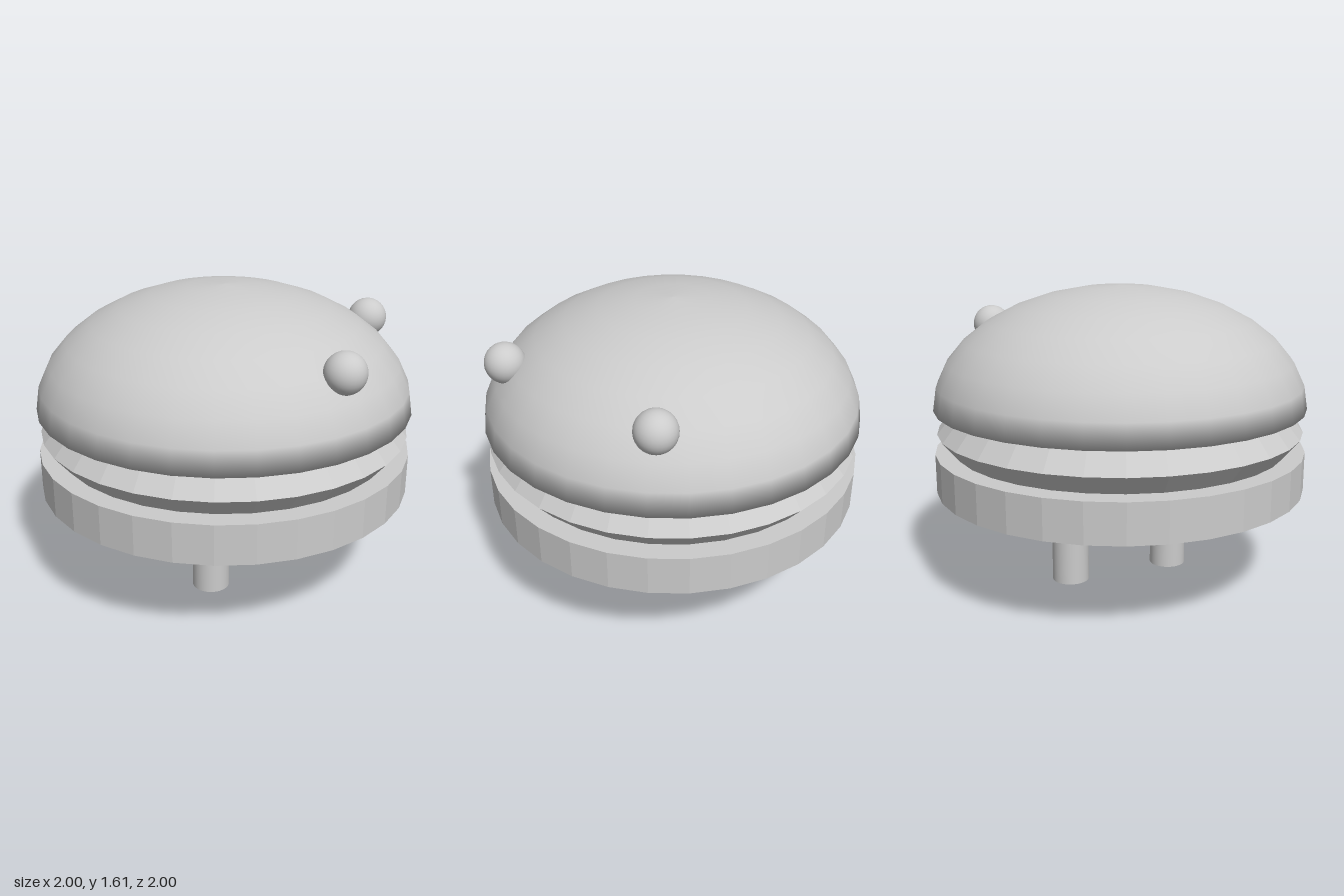
import * as THREE from 'three';

const SIDES = 32;

function material(options = {}) {
  return new THREE.MeshStandardMaterial({ color: 0xcccccc, ...options });
}

// Surface of revolution from [radius, height] pairs, listed bottom to top
function turned(name, profile, options) {
  const points = profile.map(([r, y]) => new THREE.Vector2(r, y));
  const mesh = new THREE.Mesh(new THREE.LatheGeometry(points, SIDES), material(options));
  mesh.name = name;
  return mesh;
}

export function createModel() {
  const group = new THREE.Group();
  group.name = 'burgerCreature';

  // Flat bottom bun
  group.add(turned('bottomBun', [[0, 0.53], [1, 0.53], [1, 0.74], [0, 0.74]], { flatShading: true }));

  // Patty with a pointed rim
  group.add(turned('patty', [[0, 0.745], [0.9, 0.745], [0.985, 0.848], [0.9, 0.952], [0, 0.952]], { flatShading: true }));

  // Domed top bun: half an ellipse over a closed base, smooth all over
  const dome = [[0, 0.975]];
  for (let i = 0; i <= 8; i++) {
    const a = (i / 8) * Math.PI / 2;
    dome.push([i === 8 ? 0 : Math.cos(a), 0.975 + 0.635 * Math.sin(a)]);
  }
  group.add(turned('topBun', dome));

  // Eyes and legs, mirrored front to back
  const eyeGeometry = new THREE.SphereGeometry(0.105, SIDES, 16);
  const legGeometry = new THREE.CylinderGeometry(0.1, 0.1, 0.53, SIDES, 1, true);
  for (const side of [1, -1]) {
    const eye = new THREE.Mesh(eyeGeometry, material());
    eye.name = side > 0 ? 'frontEye' : 'backEye';
    eye.position.set(0.7, 1.347, side * 0.5);
    group.add(eye);

    const leg = new THREE.Mesh(legGeometry, material({ side: THREE.DoubleSide }));
    leg.name = side > 0 ? 'frontLeg' : 'backLeg';
    leg.position.set(0, 0.265, side * 0.3);
    group.add(leg);
  }

  return group;
}
